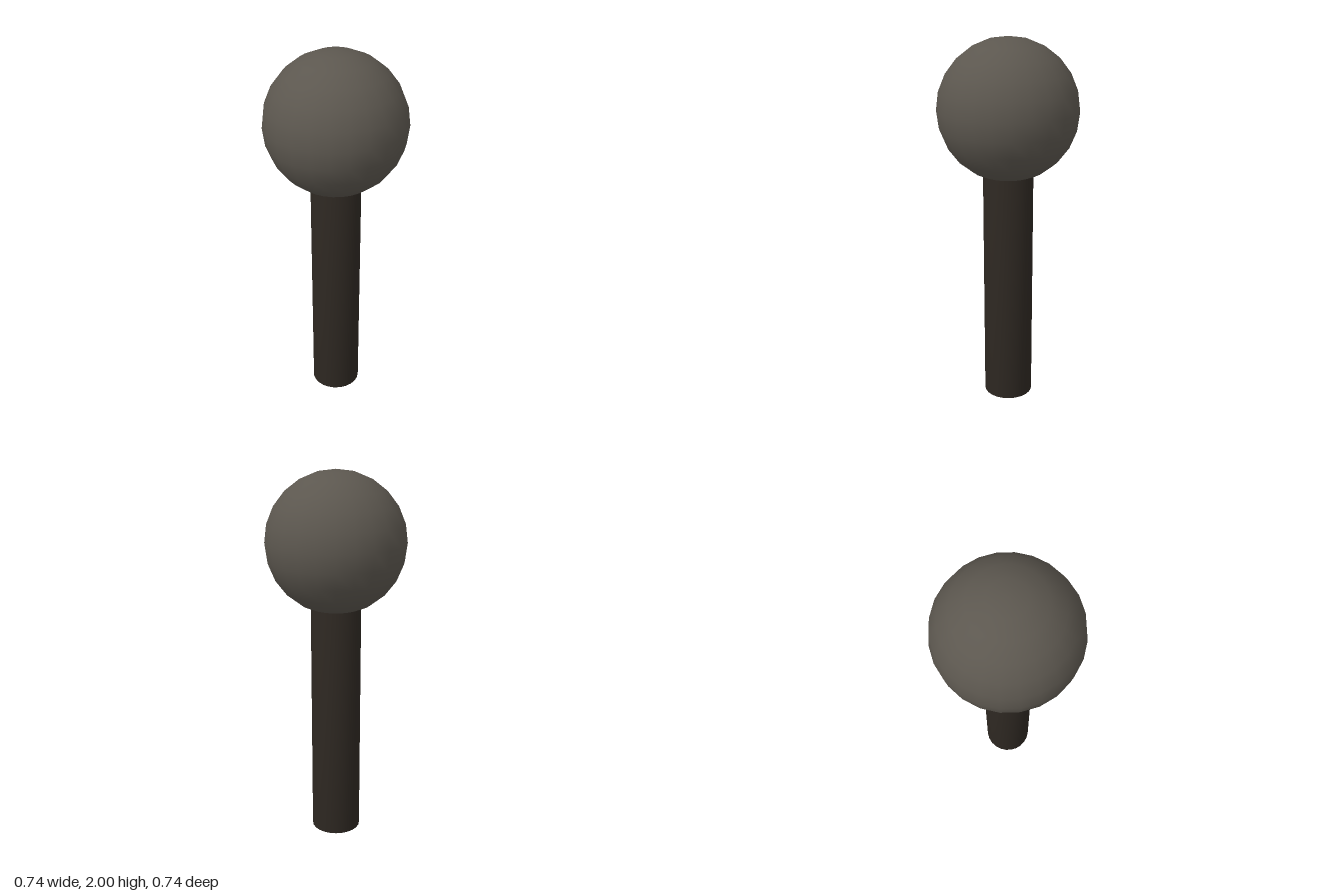
import * as THREE from 'three';
import { mergeVertices } from 'three/addons/utils/BufferGeometryUtils.js';

const BALL_RADIUS = 0.372;
const STEM_RADIUS = 0.134;
const STEM_HEIGHT = 1.3;

// Share vertices between wall and caps so the shading rolls softly over the rims
function softened(geometry) {
  geometry.deleteAttribute('normal');
  geometry.deleteAttribute('uv');
  const merged = mergeVertices(geometry);
  merged.computeVertexNormals();
  return merged;
}

function addPart(group, name, geometry, color, y) {
  const mesh = new THREE.Mesh(geometry, new THREE.MeshStandardMaterial({ color }));
  mesh.name = name;
  mesh.position.y = y;
  group.add(mesh);
}

export function createModel() {
  const model = new THREE.Group();
  model.name = 'ballOnStem';

  // Upright stem, its top sunk slightly into the ball
  const stem = softened(new THREE.CylinderGeometry(STEM_RADIUS, STEM_RADIUS, STEM_HEIGHT, 24));
  addPart(model, 'stem', stem, 0x2e2822, STEM_HEIGHT / 2);

  // Round head
  addPart(model, 'ball', new THREE.SphereGeometry(BALL_RADIUS, 24, 12), 0x5c574f, 2 - BALL_RADIUS);

  return model;
}
